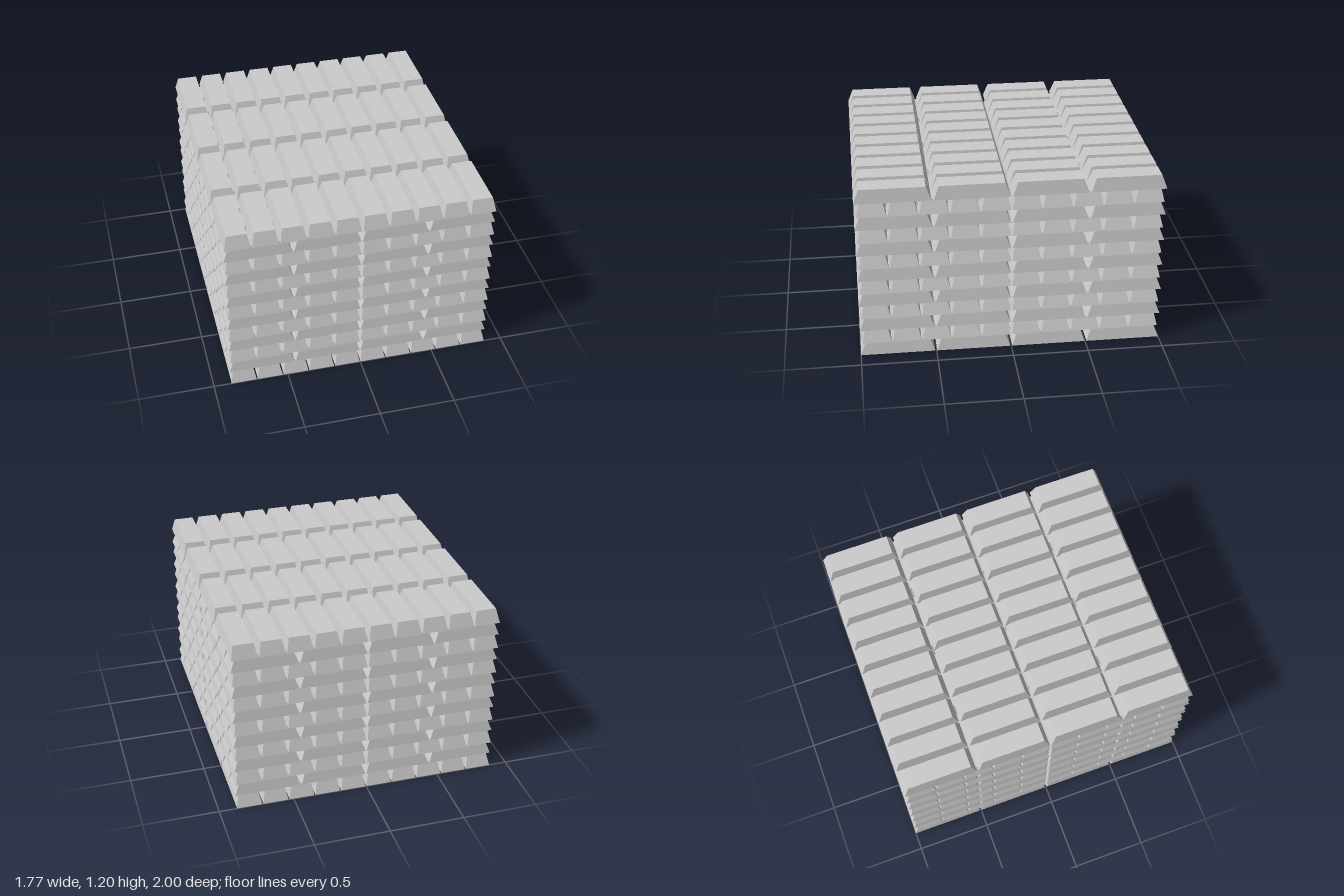
import * as THREE from 'three';

const LAYERS = 13;
const PITCH_Y = 0.0924;
const HEIGHT = 0.0908;

// Bar with a rectangular base and a smaller top; the base sits on y = 0
function barGeometry(width, depth, insetX, insetZ) {
  const geometry = new THREE.BoxGeometry(width, HEIGHT, depth);
  geometry.translate(0, HEIGHT / 2, 0);
  const p = geometry.attributes.position;
  for (let i = 0; i < p.count; i++) {
    if (p.getY(i) < HEIGHT / 2) continue;
    p.setX(i, p.getX(i) - Math.sign(p.getX(i)) * insetX);
    p.setZ(i, p.getZ(i) - Math.sign(p.getZ(i)) * insetZ);
  }
  geometry.computeVertexNormals();
  return geometry;
}

export function createModel() {
  const stack = new THREE.Group();
  stack.name = 'ingotStack';
  const material = new THREE.MeshStandardMaterial({ color: 0xcccccc, flatShading: true });

  // The two alternating layer patterns: bars along z, then bars along x
  const patterns = [
    { name: 'lengthwise', nx: 10, nz: 4, px: 0.177, pz: 0.503, geometry: barGeometry(0.17, 0.491, 0.019, 0.034) },
    { name: 'crosswise', nx: 4, nz: 10, px: 0.4445, pz: 0.198, geometry: barGeometry(0.438, 0.191, 0.033, 0.021) },
  ];

  for (let level = 0; level < LAYERS; level++) {
    const { name, nx, nz, px, pz, geometry } = patterns[level % 2];
    const layer = new THREE.Group();
    layer.name = `${name}Layer${level + 1}`;
    layer.position.y = level * PITCH_Y;
    for (let i = 0; i < nx; i++) {
      for (let j = 0; j < nz; j++) {
        const bar = new THREE.Mesh(geometry, material);
        bar.name = 'ingot';
        bar.position.set((i - (nx - 1) / 2) * px, 0, (j - (nz - 1) / 2) * pz);
        layer.add(bar);
      }
    }
    stack.add(layer);
  }
  return stack;
}
